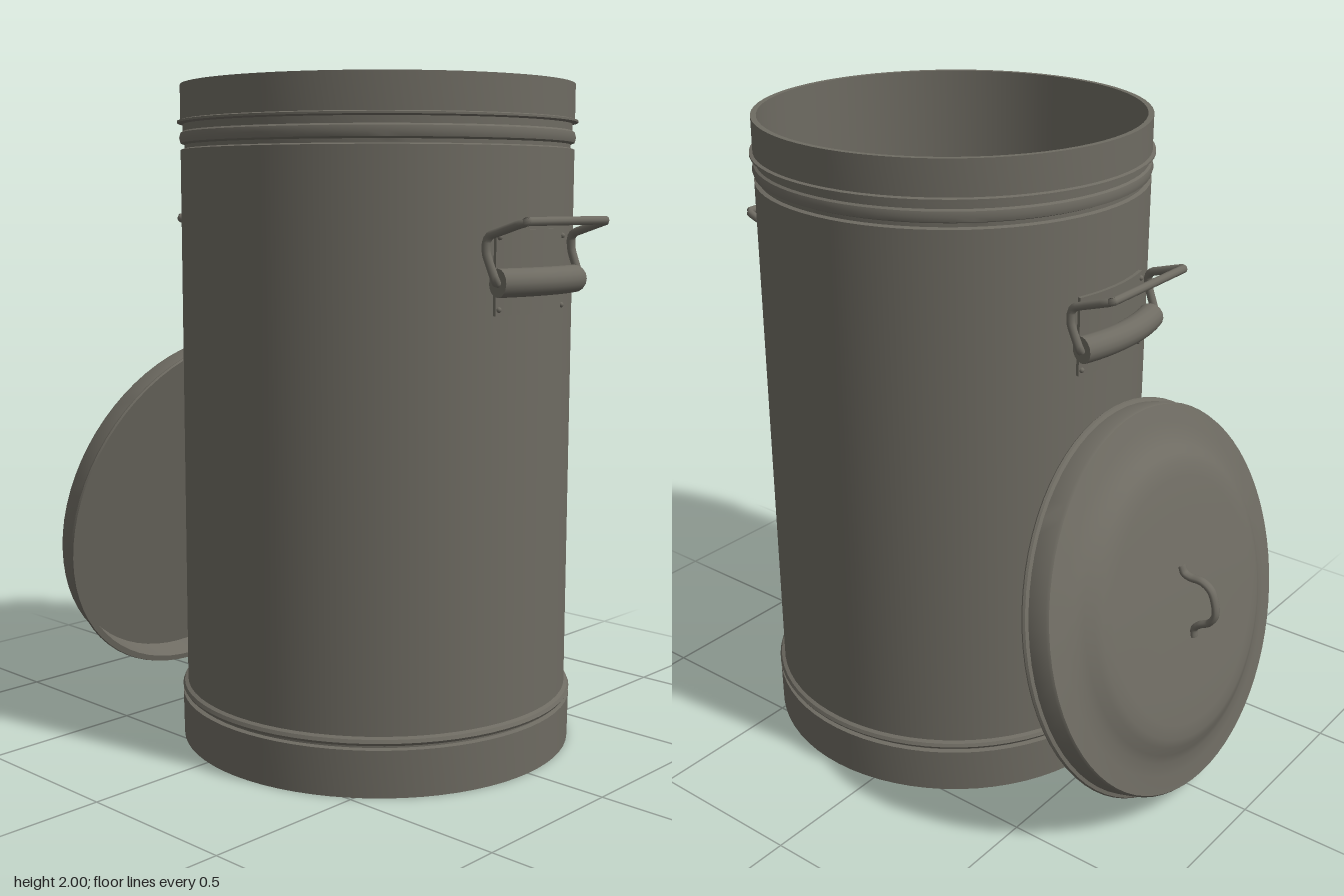
import * as THREE from 'three';
import { toCreasedNormals } from 'three/addons/utils/BufferGeometryUtils.js';

const CAN_X = 0.137;
const metal = new THREE.MeshStandardMaterial({ color: 0x6e6b62 });
metal.name = 'dull grey metal';

function add(parent, name, geometry) {
  const mesh = new THREE.Mesh(geometry, metal);
  mesh.name = name;
  parent.add(mesh);
  return mesh;
}

function lathe(points) {
  const profile = points.map(([r, y]) => new THREE.Vector2(r, y));
  return toCreasedNormals(new THREE.LatheGeometry(profile, 72), 0.6);
}

function wire(points, radius, tension) {
  const curve = new THREE.CatmullRomCurve3(
    points.map(p => new THREE.Vector3(...p)), false, 'catmullrom', tension);
  return new THREE.TubeGeometry(curve, 90, radius, 10);
}

// Open can: base band, beads, body, grooved neck, rim and inside wall
function makeCan() {
  const can = new THREE.Group();
  can.name = 'can';
  add(can, 'canShell', lathe([
    [0, 0], [0.605, 0], [0.607, 0.14], [0.593, 0.143], [0.593, 0.15],
    [0.603, 0.152], [0.608, 0.16], [0.603, 0.17], [0.592, 0.175],
    [0.592, 1.808], [0.58, 1.812], [0.58, 1.823],
    [0.592, 1.828], [0.596, 1.843], [0.592, 1.858],
    [0.585, 1.863], [0.585, 1.883], [0.602, 1.887], [0.602, 1.893],
    [0.592, 1.896], [0.592, 2], [0.575, 2], [0.575, 0.03], [0, 0.03],
  ]));
  return can;
}

// Carrying handle on the +x side, with the can's axis as its origin
function makeHandle(name) {
  const handle = new THREE.Group();
  handle.name = name;

  // Curved mounting plate
  const a = 0.262, shape = new THREE.Shape();
  shape.absarc(0, 0, 0.603, -a, a, false);
  shape.absarc(0, 0, 0.588, a, -a, true);
  const plate = new THREE.ExtrudeGeometry(shape, { depth: 0.235, bevelEnabled: false, curveSegments: 16 });
  plate.rotateX(-Math.PI / 2).translate(0, 1.345, 0);
  add(handle, 'mountingPlate', toCreasedNormals(plate, 0.5));

  // Rolled barrel that holds the wire
  const b = 0.285, R = 0.63, barrelY = 1.437;
  const barrel = new THREE.TorusGeometry(R, 0.04, 16, 24, b * 2);
  barrel.rotateZ(-b).rotateX(Math.PI / 2).translate(0, barrelY, 0);
  add(handle, 'barrel', barrel);
  for (const s of [-1, 1]) {
    const cap = new THREE.CircleGeometry(0.04, 16);
    cap.rotateY(s > 0 ? -b : Math.PI + b);
    cap.translate(R * Math.cos(b), barrelY, s * R * Math.sin(b));
    add(handle, 'barrelCap', cap);
    // Rivets at the plate corners
    for (const y of [1.362, 1.56]) {
      const rivet = new THREE.SphereGeometry(0.008, 10, 8);
      rivet.translate(Math.sqrt(0.603 ** 2 - 0.145 ** 2), y, s * 0.145);
      add(handle, 'rivet', rivet);
    }
  }

  // Bent wire grip, mirrored front to back
  const half = [
    [0.606, 1.437, 0.165], [0.608, 1.437, 0.185], [0.606, 1.455, 0.195],
    [0.582, 1.515, 0.198], [0.58, 1.55, 0.196], [0.592, 1.567, 0.194], [0.625, 1.578, 0.192],
    [0.685, 1.597, 0.19], [0.703, 1.602, 0.184], [0.708, 1.604, 0.168],
  ];
  const other = half.map(([x, y, z]) => [x, y, -z]).reverse();
  add(handle, 'wireGrip', wire([...half, ...other], 0.0125, 0.3));
  return handle;
}

// Domed lid with a strap handle, built lying flat and then tilted
function makeLid() {
  const lid = new THREE.Group();
  lid.name = 'lid';
  add(lid, 'lidShell', lathe([
    [0, 0.075], [0.575, 0.075], [0.585, 0], [0.604, 0], [0.607, 0.006], [0.604, 0.013], [0.594, 0.017],
    [0.592, 0.075], [0.587, 0.083], [0.53, 0.091], [0.49, 0.099], [0.465, 0.111],
    [0.44, 0.127], [0.415, 0.137], [0.37, 0.141], [0.2, 0.144], [0, 0.145],
  ]));
  const half = [[-0.115, 0.147, 0], [-0.09, 0.153, 0], [-0.076, 0.175, 0], [-0.066, 0.21, 0], [-0.04, 0.235, 0]];
  const other = half.map(([x, y, z]) => [-x, y, z]).reverse();
  const strap = wire([...half, [0, 0.241, 0], ...other], 0.011, 0.5);
  strap.scale(1, 1, 1.4);
  add(lid, 'lidHandle', strap);
  lid.position.set(-0.6125, 0.615, 0);
  lid.rotation.z = 1.316;
  return lid;
}

export function createModel() {
  const model = new THREE.Group();
  model.name = 'metalBin';

  const can = makeCan();
  can.position.x = CAN_X;
  can.add(makeHandle('leftHandle'));
  const right = makeHandle('rightHandle');
  right.rotation.y = Math.PI;
  can.add(right);

  model.add(can, makeLid());
  return model;
}
